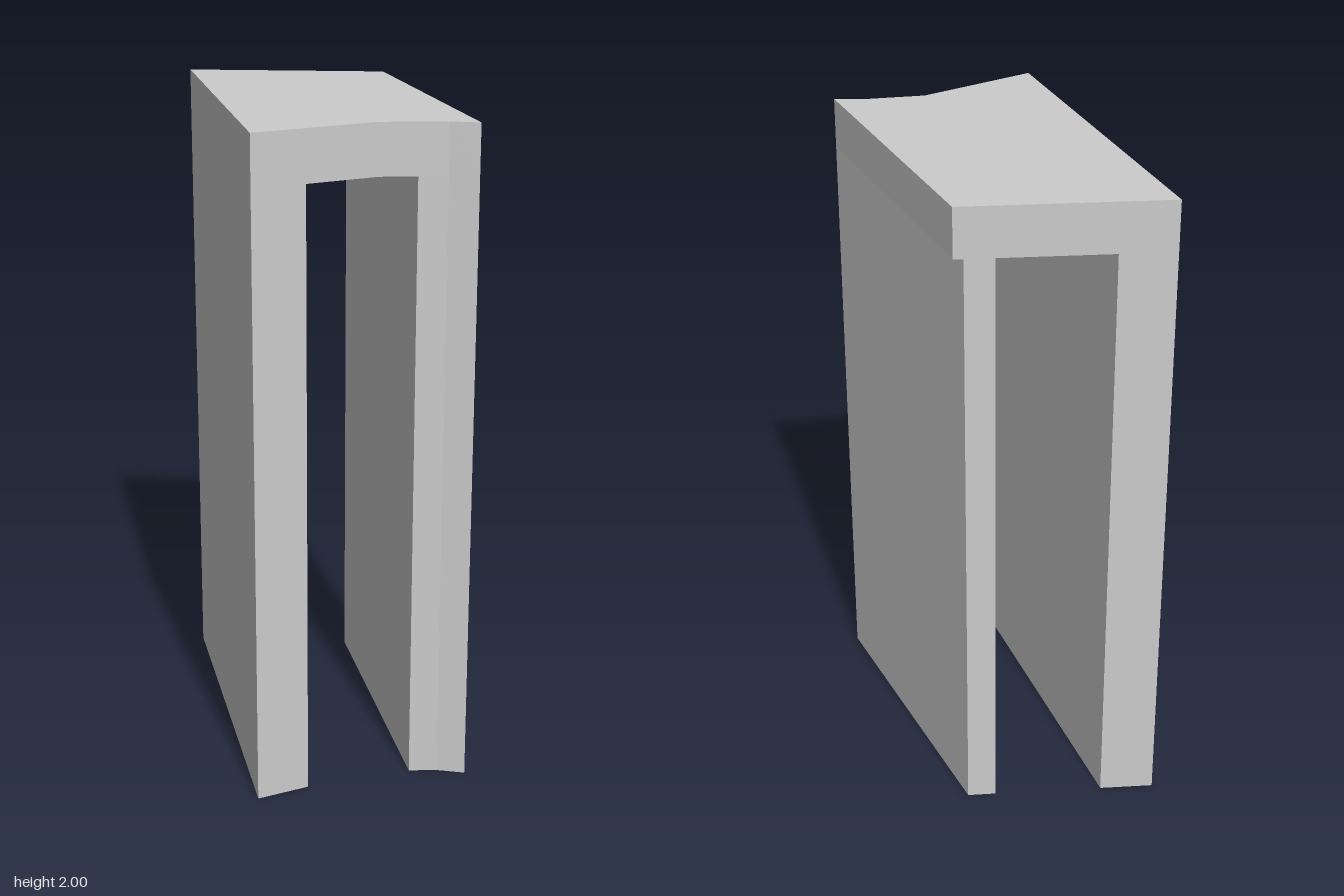
import * as THREE from 'three';

const material = new THREE.MeshStandardMaterial({ color: 0xcccccc, flatShading: true });

// Upright prism over a floor plan of [x, z] corners
function prism(name, plan, bottom, top) {
  const shape = new THREE.Shape(plan.map(([x, z]) => new THREE.Vector2(x, -z)));
  const geometry = new THREE.ExtrudeGeometry(shape, { depth: top - bottom, bevelEnabled: false });
  geometry.rotateX(-Math.PI / 2).translate(0, bottom, 0);
  const mesh = new THREE.Mesh(geometry, material);
  mesh.name = name;
  return mesh;
}

export function createModel() {
  const group = new THREE.Group();
  group.name = 'archBlock';
  const underside = 1.848;

  // Lintel with slanted back and notched front
  group.add(prism('lintel', [
    [-0.322, -0.566], [-0.322, 0.563], [0.053, 0.473],
    [0.242, 0.507], [0.322, 0.54], [0.271, -0.399],
  ], underside, 2));

  // Right wall
  group.add(prism('rightWall', [
    [-0.322, -0.566], [-0.322, 0.563], [-0.163, 0.525], [-0.163, -0.521],
  ], 0, underside));

  // Left wall, tapering inward beneath the lintel towards the back
  group.add(prism('leftWall', [
    [0.159, -0.43], [0.159, 0.492], [0.242, 0.507], [0.322, 0.54], [0.243, -0.407],
  ], 0, underside));

  return group;
}
